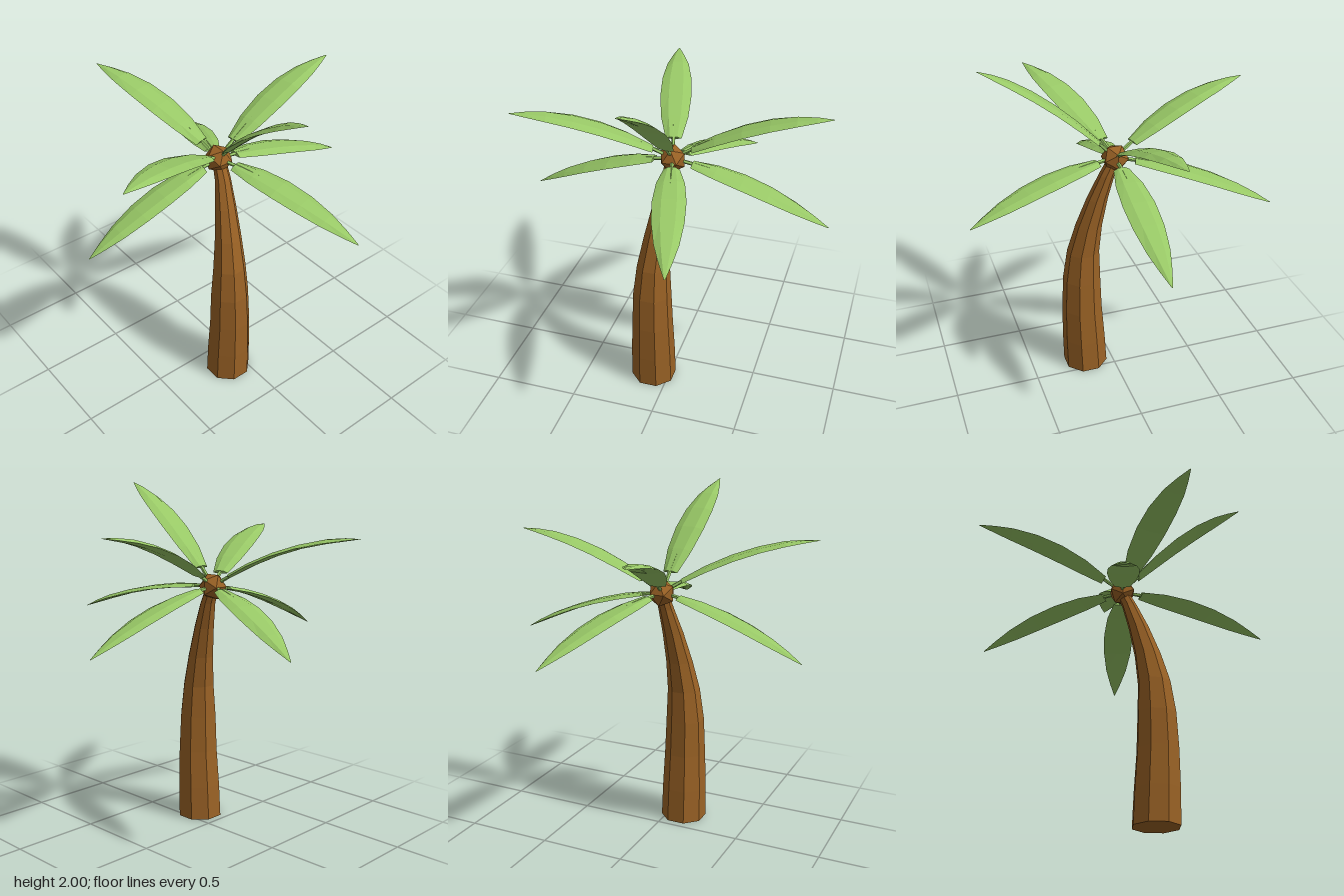
import * as THREE from 'three';

const CROWN = new THREE.Vector3(-0.01, 1.43, 0.025);

// One normal per face for the low-poly look
function faceted(geometry) {
  const flat = geometry.index ? geometry.toNonIndexed() : geometry;
  flat.computeVertexNormals();
  return flat;
}

function named(name, geometry, material) {
  const mesh = new THREE.Mesh(faceted(geometry), material);
  mesh.name = name;
  return mesh;
}

// Octagonal trunk: a cylinder whose rings follow a bent, tapering path
function trunkGeometry() {
  // x, y, z, radius
  const rings = [
    [0.165, 0, 0.095, 0.135],
    [0.172, 0.2, 0.095, 0.131],
    [0.179, 0.42, 0.094, 0.121],
    [0.177, 0.63, 0.094, 0.112],
    [0.166, 0.82, 0.088, 0.095],
    [0.133, 1.0, 0.072, 0.077],
    [0.085, 1.18, 0.052, 0.06],
    [0.035, 1.33, 0.032, 0.045],
    [-0.005, 1.42, 0.025, 0.038],
  ];
  const n = rings.length - 1;
  const geo = new THREE.CylinderGeometry(1, 1, 1, 8, n, false, Math.PI / 8);
  const pos = geo.attributes.position;
  for (let i = 0; i < pos.count; i++) {
    const [x, y, z, r] = rings[Math.round((pos.getY(i) + 0.5) * n)];
    pos.setXYZ(i, x + pos.getX(i) * r, y, z + pos.getZ(i) * r);
  }
  return geo;
}

// Arched leaf path from the crown to a tip
function leafCurve(tip) {
  const bulge = tip.y > CROWN.y ? 0.067 : 0.05;
  const points = [];
  for (let i = 0; i <= 6; i++) {
    const u = i / 6;
    const p = CROWN.clone().lerp(tip, u);
    p.y += bulge * 4 * u * (1 - u);
    points.push(p);
  }
  return new THREE.CatmullRomCurve3(points);
}

// Blade: lens-shaped sections lofted along the path
function bladeGeometry(curve) {
  // position along the path, half width
  const stations = [
    [0.13, 0.045], [0.28, 0.077], [0.45, 0.09], [0.62, 0.085],
    [0.78, 0.064], [0.9, 0.034], [1, 0.003],
  ];
  const section = [[1, -0.006], [0.45, 0.011], [-0.45, 0.011], [-1, -0.006], [0, -0.013]];
  const n = section.length;
  const up = new THREE.Vector3(0, 1, 0);
  const verts = [];
  const index = [];
  stations.forEach(([u, w], i) => {
    const p = curve.getPoint(u);
    const t = curve.getTangent(u);
    const side = up.clone().cross(t).normalize();
    const normal = t.clone().cross(side);
    const thick = Math.min(1, w / 0.05);
    for (const [s, h] of section) {
      const v = p.clone().addScaledVector(side, s * w).addScaledVector(normal, h * thick);
      verts.push(v.x, v.y, v.z);
    }
    if (i === 0) return;
    for (let j = 0; j < n; j++) {
      const a = (i - 1) * n + j;
      const b = (i - 1) * n + (j + 1) % n;
      index.push(a, b, b + n, a, b + n, a + n);
    }
  });
  // End caps
  const last = (stations.length - 1) * n;
  for (let j = 1; j < n - 1; j++) {
    index.push(0, j + 1, j, last, last + j, last + j + 1);
  }
  const geo = new THREE.BufferGeometry();
  geo.setAttribute('position', new THREE.Float32BufferAttribute(verts, 3));
  geo.setIndex(index);
  return geo;
}

// Thin stalk joining the crown to the blade
function stalkGeometry(curve) {
  const points = [0, 0.1, 0.2, 0.3].map((u) => curve.getPoint(u));
  return new THREE.TubeGeometry(new THREE.CatmullRomCurve3(points), 4, 0.011, 5);
}

export function createModel() {
  const bark = new THREE.MeshStandardMaterial({ color: 0x9a6225 });
  bark.name = 'bark brown';
  const green = new THREE.MeshStandardMaterial({ color: 0x98c866 });
  green.name = 'leaf green';

  const model = new THREE.Group();
  model.name = 'palmTree';
  model.add(named('trunk', trunkGeometry(), bark));

  // Faceted crown at the top of the trunk
  const crown = named('crown', new THREE.IcosahedronGeometry(0.08, 0), bark);
  crown.position.copy(CROWN);
  model.add(crown);

  // Four raised and four drooping leaves, given by their tips
  const tips = [
    [-0.855, 1.73, 0.24], [0.71, 2.0, 0.075], [0.305, 1.735, 0.83], [-0.085, 1.75, -0.83],
    [-0.835, 1.165, -0.285], [0.855, 1.255, -0.2], [-0.045, 1.13, 0.86], [-0.01, 1.14, -0.865],
  ];
  for (const tip of tips) {
    const curve = leafCurve(new THREE.Vector3(...tip));
    const leaf = new THREE.Group();
    leaf.name = 'leaf';
    leaf.add(named('blade', bladeGeometry(curve), green));
    leaf.add(named('stalk', stalkGeometry(curve), green));
    model.add(leaf);
  }
  return model;
}
